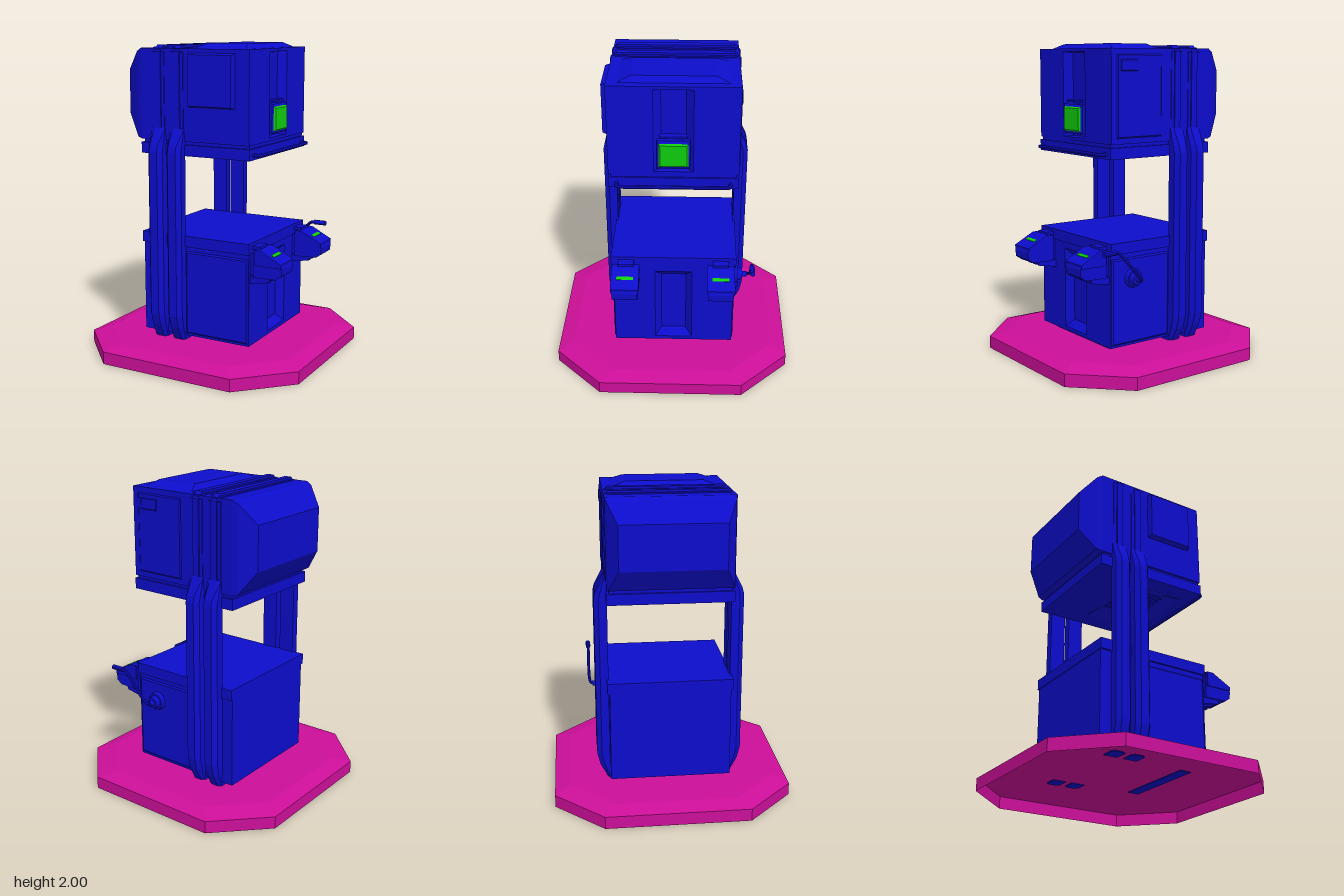
import * as THREE from 'three';

const mat = (color) => new THREE.MeshStandardMaterial({ color, flatShading: true });

// Solid through matching rings (counter-clockwise seen from the last ring)
function loft(rings, capStart = true) {
  const pos = [];
  const tri = (...pts) => pts.forEach((p) => pos.push(...p));
  for (let r = 0; r + 1 < rings.length; r++) {
    const a = rings[r], b = rings[r + 1];
    a.forEach((_, i) => {
      const j = (i + 1) % a.length;
      tri(a[i], a[j], b[j]);
      tri(a[i], b[j], b[i]);
    });
  }
  const first = rings[0], last = rings[rings.length - 1];
  for (let i = 1; i + 1 < last.length; i++) {
    tri(last[0], last[i], last[i + 1]);
    if (capStart) tri(first[0], first[i + 1], first[i]);
  }
  const g = new THREE.BufferGeometry();
  g.setAttribute('position', new THREE.Float32BufferAttribute(pos, 3));
  g.computeVertexNormals();
  return g;
}

// Rectangle ring facing +z
const rect = (w, h, z) => [[-w / 2, -h / 2, z], [w / 2, -h / 2, z], [w / 2, h / 2, z], [-w / 2, h / 2, z]];
// Raised panel with sloping sides, and sunken tray
const raised = (w, h, w1, h1, d) => loft([rect(w, h, 0), rect(w1, h1, d)]);
const sunken = (w, h, w1, h1, d) => loft([rect(w, h, 0), rect(w1, h1, -d)], false);

function extrude(points, depth, hole) {
  const shape = new THREE.Shape(points.map((p) => new THREE.Vector2(...p)));
  if (hole) shape.holes.push(new THREE.Path(hole.map((p) => new THREE.Vector2(...p))));
  return new THREE.ExtrudeGeometry(shape, { depth, bevelEnabled: false });
}
const corners = (x0, y0, x1, y1) => [[x0, y0], [x1, y0], [x1, y1], [x0, y1]];
const box = (w, h, d) => new THREE.BoxGeometry(w, h, d);
const octagon = (a, c, y) => [[c, a], [a, c], [a, -c], [c, -a], [-c, -a], [-a, -c], [-a, c], [-c, a]].map(([x, z]) => [x, y, z]);

export function createModel() {
  const model = new THREE.Group();
  const blue = mat(0x0d0dcc), magenta = mat(0xcc0f99), green = mat(0x0fcc0f);
  magenta.side = THREE.DoubleSide;
  const machine = new THREE.Group();
  machine.name = 'machine';
  machine.position.z = -0.01;
  model.add(machine);
  const add = (name, geo, p = [0, 0, 0], r = [0, 0, 0], m = blue, parent = machine) => {
    const mesh = new THREE.Mesh(geo, m);
    mesh.name = name;
    mesh.position.set(...p);
    mesh.rotation.set(...r);
    parent.add(mesh);
    return mesh;
  };
  const Q = Math.PI / 2, toRight = [0, Q, 0], toBack = [0, Math.PI, 0], toTop = [-Q, 0, 0], toBottom = [Q, 0, 0];

  // Octagonal plinth, a shell open underneath
  add('plinth', loft([octagon(0.76, 0.455, 0), octagon(0.76, 0.455, 0.08), octagon(0.66, 0.375, 0.11)], false), [0, 0, 0], [0, 0, 0], magenta, model);
  add('footBar', raised(0.08, 0.58, 0.08, 0.62, 0.04), [0.29, 0.105, 0], toTop);

  // Lower cabinet with sunken side panel and lid
  add('lowerCabinet', box(0.71, 0.6, 0.772), [-0.03, 0.44, 0]);
  add('lowerSidePlate', extrude(corners(-0.386, 0.14, 0.386, 0.74), 0.055, corners(-0.12, 0.165, 0.12, 0.69)), [0.325, 0, 0], toRight);
  add('lowerSideRecess', sunken(0.24, 0.525, 0.16, 0.43, 0.045), [0.38, 0.4275, 0], toRight);
  add('lowerLid', box(0.775, 0.07, 0.8), [-0.002, 0.765, 0]);
  for (const [r, z] of [[[0, 0, 0], 0.386], [toBack, -0.386]])
    add('lowerPanel', raised(0.445, 0.545, 0.425, 0.525, 0.008), [0.152, 0.427, z], r);

  // Slab under the head, with a sunken grille
  add('headSlab', extrude(corners(-0.39, -0.395, 0.385, 0.395), 0.07, corners(-0.1, -0.27, 0.31, 0.27)), [0, 1.38, 0], toBottom);
  add('grilleRecess', sunken(0.41, 0.54, 0.26, 0.34, 0.05), [0.105, 1.31, 0], toBottom);
  for (let i = 0; i < 7; i++) add('grilleSlat', box(0.26, 0.012, 0.02), [0.105, 1.35, -0.144 + i * 0.048], [0.5, 0, 0]);
  add('headNeck', box(0.75, 0.05, 0.76), [0, 1.39, 0]);

  // Head, tapering on one side, with a channel on the other
  const ring = (x, y0, y1, h) => [[x, y0, -h], [x, y1, -h], [x, y1, h], [x, y0, h]];
  add('head', loft([ring(-0.52, 1.55, 1.83, 0.325), ring(-0.42, 1.41, 1.95, 0.385), ring(-0.385, 1.4, 1.97, 0.395), ring(0.325, 1.4, 1.97, 0.395)]));
  add('headSidePlate', extrude(corners(-0.395, 1.4, 0.395, 1.97), 0.055, corners(-0.12, 1.42, 0.12, 1.95)), [0.325, 0, 0], toRight);
  add('headChannel', sunken(0.24, 0.53, 0.15, 0.52, 0.045), [0.38, 1.685, 0], toRight);
  add('screenHousing', box(0.06, 0.18, 0.2), [0.355, 1.535, 0]);
  add('screenBezel', raised(0.2, 0.185, 0.178, 0.153, 0.008), [0.385, 1.535, 0], toRight);
  add('screen', raised(0.178, 0.153, 0.16, 0.135, 0.011), [0.393, 1.535, 0], toRight, green);
  add('screenHood', box(0.05, 0.012, 0.17), [0.352, 1.645, 0]);
  add('topHatch', raised(0.36, 0.66, 0.28, 0.5, 0.03), [0.147, 1.97, 0], toTop);

  // Hatch on the front of the head, access panel on the back
  add('frontHatch', raised(0.32, 0.33, 0.3, 0.31, 0.035), [0.125, 1.78, 0.395]);
  add('backPanel', raised(0.34, 0.5, 0.325, 0.485, 0.006), [0.17, 1.685, -0.395], toBack);
  add('backPanelLatch', raised(0.13, 0.07, 0.12, 0.06, 0.004), [0.25, 1.87, -0.401], toBack);

  // Twin bands around the head, each over a pair of posts
  const band = (h, y0, y1, c) => [[-h, y0], [h, y0], [h, y1 - c], [h - c, y1], [-h + c, y1], [-h, y1 - c]];
  const post = (y, w, zi, zo, d = 0.03) => {
    const zm = zo - d, t = w * 0.55;
    return [[-t, y, zo], [t, y, zo], [w, y, zm], [w, y, zi], [-w, y, zi], [-w, y, zm]];
  };
  const postGeo = loft([
    post(0.105, 0.046, 0.3, 0.4, 0.015), post(0.2, 0.05, 0.375, 0.45), post(0.28, 0.052, 0.388, 0.47),
    post(1.33, 0.052, 0.388, 0.47), post(1.37, 0.052, 0.385, 0.46), post(1.48, 0.05, 0.36, 0.405, 0.008),
  ]);
  for (const x of [-0.258, -0.122]) {
    add('headBandBase', extrude(band(0.399, 1.41, 1.977, 0.03), 0.09), [x + 0.045, 0, 0], [0, -Q, 0]);
    add('headBand', extrude(band(0.406, 1.43, 1.99, 0.04), 0.045), [x + 0.0225, 0, 0], [0, -Q, 0]);
    add('frontPost', postGeo, [x, 0, 0]);
    add('backPost', postGeo, [x, 0, 0], toBack);
  }

  // Grab rail on the slab
  const v = (x, y, z) => new THREE.Vector3(x, y, z);
  const rail = new THREE.CurvePath();
  rail.add(new THREE.LineCurve3(v(0.38, 1.34, 0.345), v(0.41, 1.34, 0.345)));
  rail.add(new THREE.QuadraticBezierCurve3(v(0.41, 1.34, 0.345), v(0.432, 1.34, 0.345), v(0.432, 1.34, 0.31)));
  rail.add(new THREE.LineCurve3(v(0.432, 1.34, 0.31), v(0.432, 1.34, -0.31)));
  rail.add(new THREE.QuadraticBezierCurve3(v(0.432, 1.34, -0.31), v(0.432, 1.34, -0.345), v(0.41, 1.34, -0.345)));
  rail.add(new THREE.LineCurve3(v(0.41, 1.34, -0.345), v(0.38, 1.34, -0.345)));
  add('grabRail', new THREE.TubeGeometry(rail, 80, 0.012, 8));

  // Two control consoles
  const consoleProfile = [[0.405, 0.59], [0.56, 0.595], [0.595, 0.62], [0.6, 0.665], [0.592, 0.69], [0.46, 0.755], [0.405, 0.755]];
  for (const z of [0.302, -0.302]) {
    const c = new THREE.Group();
    c.name = 'controlConsole';
    c.position.z = z;
    machine.add(c);
    const part = (name, geo, p, r, m) => add(name, geo, p, r, m, c);
    part('consoleBody', extrude(consoleProfile, 0.16), [0, 0, -0.08]);
    part('consoleHood', extrude([[0.415, 0.67], [0.594, 0.67], [0.597, 0.695], [0.585, 0.701], [0.46, 0.766], [0.415, 0.766]], 0.176), [0, 0, -0.088]);
    part('consoleMount', box(0.06, 0.14, 0.12), [0.39, 0.67, 0]);
    part('consoleArm', box(0.07, 0.02, 0.1), [0.405, 0.77, 0]);
    part('consoleLight', box(0.022, 0.006, 0.105), [0.525, 0.733, 0], [0, 0, -0.48], green);
    for (let i = 0; i < 3; i++)
      part('consoleFinger', extrude([[0.375, 0.545], [0.505, 0.567], [0.52, 0.592], [0.375, 0.592]], 0.03), [0, 0, -0.07 + i * 0.055]);
  }

  // Crank on the back of the lower cabinet
  const disc = (name, r0, r1, d, z) => add(name, new THREE.CylinderGeometry(r1, r0, d, 12), [0.22, 0.57, z], [-Q, 0, 0]);
  disc('crankFlange', 0.065, 0.055, 0.04, -0.402);
  disc('crankHub', 0.045, 0.035, 0.03, -0.435);
  disc('crankAxle', 0.018, 0.018, 0.04, -0.46);
  const arm = new THREE.CatmullRomCurve3([v(0.22, 0.57, -0.46), v(0.222, 0.575, -0.488), v(0.25, 0.6, -0.498), v(0.38, 0.745, -0.498), v(0.41, 0.768, -0.498), v(0.44, 0.77, -0.498)]);
  add('crankArm', new THREE.TubeGeometry(arm, 30, 0.01, 8));
  add('crankGrip', new THREE.CylinderGeometry(0.016, 0.016, 0.085, 10), [0.47, 0.77, -0.498], [0, 0, Q]);

  return model;
}
